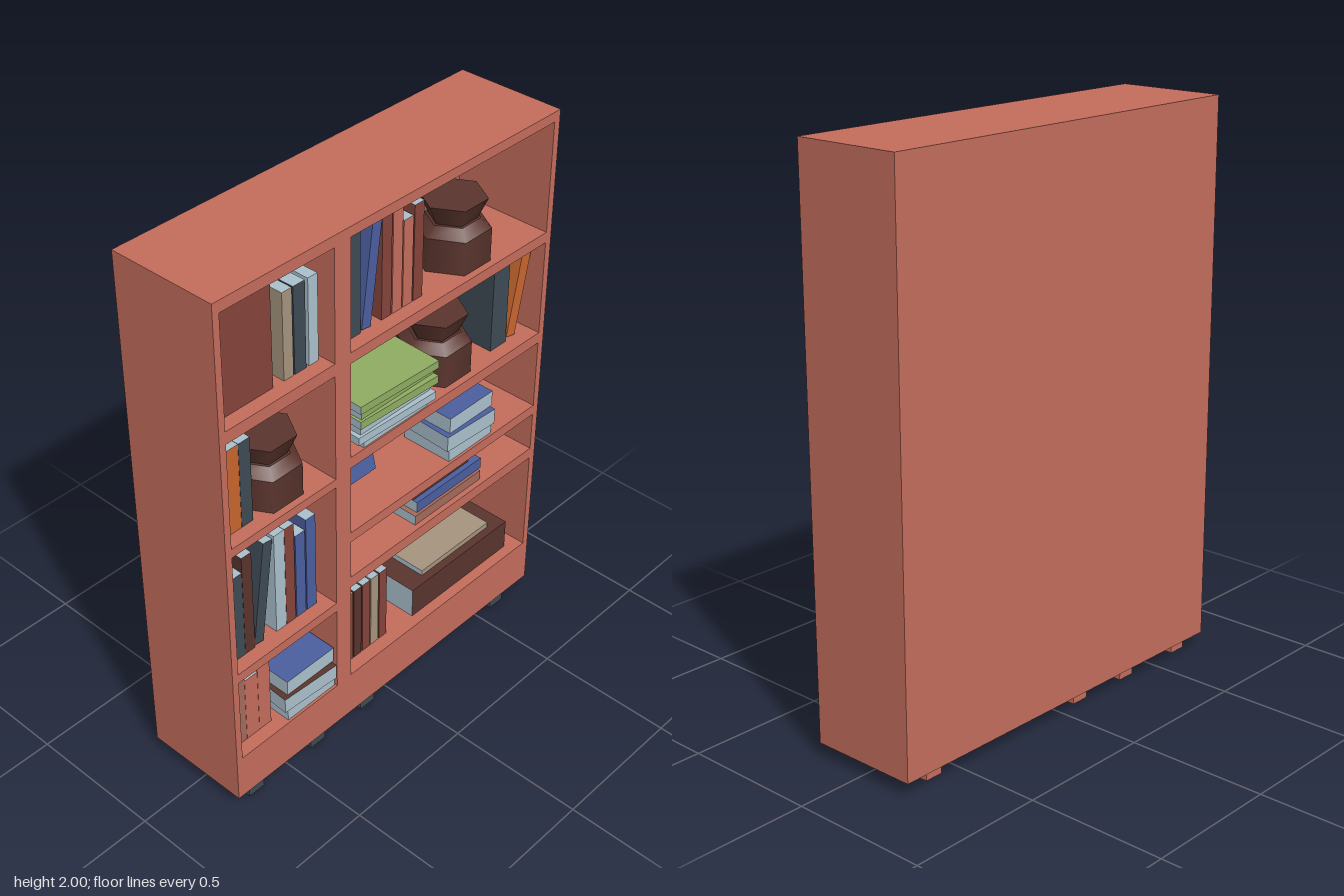
import * as THREE from 'three';

const mat = (name, color) => {
  const m = new THREE.MeshStandardMaterial({ color });
  m.name = name;
  return m;
};

export function createModel() {
  const root = new THREE.Group();
  root.name = 'bookcase';

  const red = mat('terracotta', 0xc46d5c);
  const tan = mat('backBrown', 0xa36b5b);
  const brown = mat('darkBrown', 0x5a342d);
  const maroon = mat('maroon', 0x85453b);
  const slate = mat('slate', 0x3d4a54);
  const blue = mat('blue', 0x4b5f9f);
  const green = mat('green', 0x8fad62);
  const orange = mat('orange', 0xc8662f);
  const paper = mat('paleBlue', 0xabc1cd);
  const beige = mat('beige', 0xa6957f);

  const add = (name, geo, material, x, y, z) => {
    const m = new THREE.Mesh(geo, material);
    m.name = name;
    m.position.set(x, y, z);
    root.add(m);
    return m;
  };
  // Box given by its extents
  const block = (name, material, x0, x1, y0, y1, z0, z1) =>
    add(name, new THREE.BoxGeometry(x1 - x0, y1 - y0, z1 - z0), material,
      (x0 + x1) / 2, (y0 + y1) / 2, (z0 + z1) / 2);

  // Cabinet frame: one slab with a hole for each compartment
  const rectangle = (Type, x0, x1, y0, y1) => {
    const p = new Type();
    p.moveTo(x0, y0);
    p.lineTo(x1, y0);
    p.lineTo(x1, y1);
    p.lineTo(x0, y1);
    p.closePath();
    return p;
  };
  const frame = rectangle(THREE.Shape, -0.75, 0.75, 0.05, 2);
  const leftRows = [[1.56, 1.96], [1.123, 1.515], [0.604, 1.09], [0.225, 0.567]];
  const rightRows = [[1.565, 1.965], [1.17, 1.526], [0.863, 1.128], [0.673, 0.824], [0.228, 0.63]];
  for (const [a, b] of leftRows) frame.holes.push(rectangle(THREE.Path, -0.725, -0.277, a, b));
  for (const [a, b] of rightRows) frame.holes.push(rectangle(THREE.Path, -0.208, 0.724, a, b));
  add('cabinetFrame', new THREE.ExtrudeGeometry(frame, { depth: 0.38, bevelEnabled: false }), red, 0, 0, -0.19);
  block('cabinetBack', red, -0.75, 0.75, 0.05, 2, -0.21, -0.19);
  block('innerBackPanel', tan, -0.735, 0.735, 0.21, 1.975, -0.192, -0.184);

  // Feet: dark in front, cabinet-coloured behind
  for (const x of [-0.655, -0.36, -0.11, 0.6]) {
    block('frontFoot', slate, x - 0.034, x + 0.034, 0, 0.05, 0.107, 0.176);
    block('backFoot', red, x - 0.034, x + 0.034, 0, 0.05, -0.174, -0.1);
  }

  // Upright book: spine in front, covers on the sides, pages elsewhere
  const upright = (cover, x0, x1, floor, top, lean = 0) => {
    const geo = new THREE.BoxGeometry(x1 - x0, top - floor, 0.3);
    geo.translate(0, (top - floor) / 2, 0);
    const b = add('uprightBook', geo, [cover, cover, paper, paper, cover, paper],
      (x0 + x1) / 2, floor, -0.01);
    b.rotation.z = lean;
  };
  // Lying book: covers above and below, with chosen front and left faces
  const lying = (cover, x0, x1, y0, y1, z0, z1, { front = cover, side = paper, turn = 0 } = {}) => {
    const b = block('lyingBook', [side, paper, cover, cover, front, paper], x0, x1, y0, y1, z0, z1);
    b.rotation.y = turn;
  };
  // Book showing its cover to the front
  const display = (cover, side, x0, x1, floor, height, thick, z, tilt) => {
    const geo = new THREE.BoxGeometry(x1 - x0, height, thick);
    geo.translate(0, height / 2, 0);
    const b = add('displayedBook', geo, [side, cover, paper, paper, cover, cover], (x0 + x1) / 2, floor, z);
    b.rotation.x = tilt;
  };

  const books = [
    // left column, top to bottom
    [beige, -0.44, -0.4, 1.56, 1.865], [slate, -0.395, -0.347, 1.56, 1.865], [paper, -0.335, -0.295, 1.56, 1.865],
    [brown, -0.72, -0.681, 1.123, 1.438], [orange, -0.68, -0.634, 1.123, 1.438], [slate, -0.633, -0.586, 1.123, 1.438],
    [tan, -0.725, -0.686, 0.604, 0.967], [slate, -0.685, -0.644, 0.604, 0.946], [brown, -0.643, -0.601, 0.604, 1.004],
    [slate, -0.603, -0.563, 0.61, 1.005, -0.135], [paper, -0.504, -0.459, 0.604, 1.004],
    [maroon, -0.458, -0.416, 0.604, 1.004], [blue, -0.411, -0.368, 0.604, 0.946], [blue, -0.363, -0.32, 0.604, 0.983],
    [tan, -0.718, -0.655, 0.225, 0.532], [red, -0.654, -0.598, 0.225, 0.49], [red, -0.597, -0.543, 0.225, 0.511],
    // right column, top to bottom
    [maroon, -0.199, -0.157, 1.565, 1.873], [slate, -0.156, -0.114, 1.565, 1.931],
    [blue, -0.108, -0.068, 1.57, 1.925, -0.13], [maroon, -0.019, 0.024, 1.565, 1.931],
    [red, 0.029, 0.072, 1.565, 1.931], [red, 0.077, 0.12, 1.565, 1.873], [maroon, 0.125, 0.167, 1.565, 1.905],
    [slate, 0.527, 0.607, 1.17, 1.496], [orange, 0.609, 0.654, 1.18, 1.494, -0.2],
  ];
  for (const b of books) upright(...b);
  [maroon, brown, maroon, beige, maroon].forEach((c, i) => {
    const x = -0.183 + i * 0.0425;
    upright(c, x, x + 0.037, 0.228, 0.532);
  });

  display(maroon, maroon, -0.724, -0.485, 1.56, 0.355, 0.07, 0.105, 0);
  display(blue, paper, -0.14, 0.064, 0.88, 0.225, 0.1, 0, -0.24);

  // Tall pile of thin books, every second one turned a little
  const widths = [[-0.145, 0.155], [-0.172, 0.178], [-0.16, 0.165], [-0.163, 0.187], [-0.157, 0.18], [-0.163, 0.187]];
  widths.forEach(([x0, x1], i) => {
    const y = 1.17 + i * 0.0288;
    const odd = i % 2;
    lying(i < 3 ? paper : green, x0, x1, y, y + 0.0288, -0.1, odd ? 0.2 : 0.185, { turn: odd ? -0.035 : 0 });
  });

  // Piles of three with their pages to the front
  const pile = (x0, x1, floor, h, midCover, midSide) => {
    lying(blue, x0, x1, floor, floor + h, -0.02, 0.18, { front: paper });
    lying(midCover, x0 - 0.018, x1 - 0.008, floor + h, floor + 2 * h, 0, 0.197,
      { front: paper, side: midSide, turn: -0.05 });
    lying(blue, x0, x1 - 0.003, floor + 2 * h, floor + 3 * h, -0.02, 0.18, { front: paper });
  };
  pile(0.283, 0.503, 0.863, 0.0593, blue, brown);
  pile(-0.503, -0.28, 0.225, 0.0585, brown, paper);

  // Low pile of three
  lying(tan, 0.13, 0.469, 0.673, 0.711, -0.05, 0.17);
  lying(blue, 0.149, 0.482, 0.711, 0.753, -0.06, 0.16);
  lying(brown, 0.147, 0.437, 0.753, 0.791, -0.06, 0.14);

  // Thick volume with a thin one on top
  lying(brown, 0.15, 0.663, 0.228, 0.347, -0.12, 0.15);
  lying(beige, 0.233, 0.593, 0.347, 0.368, -0.08, 0.12);

  // Six-sided pots with a shoulder and a flared neck
  const pot = (x, y) => {
    const g = new THREE.Group();
    g.name = 'pot';
    g.position.set(x, y, 0.055);
    for (const [name, rTop, rBottom, y0, y1] of [
      ['potBody', 0.127, 0.127, 0, 0.12],
      ['potShoulder', 0.09, 0.127, 0.12, 0.152],
      ['potNeck', 0.112, 0.08, 0.152, 0.224],
    ]) {
      const m = new THREE.Mesh(
        new THREE.CylinderGeometry(rTop, rBottom, y1 - y0, 6, 1, false, Math.PI / 6), brown);
      m.name = name;
      m.position.y = (y0 + y1) / 2;
      g.add(m);
    }
    root.add(g);
  };
  pot(0.405, 1.565);
  pot(-0.459, 1.123);
  pot(0.331, 1.17);

  return root;
}
